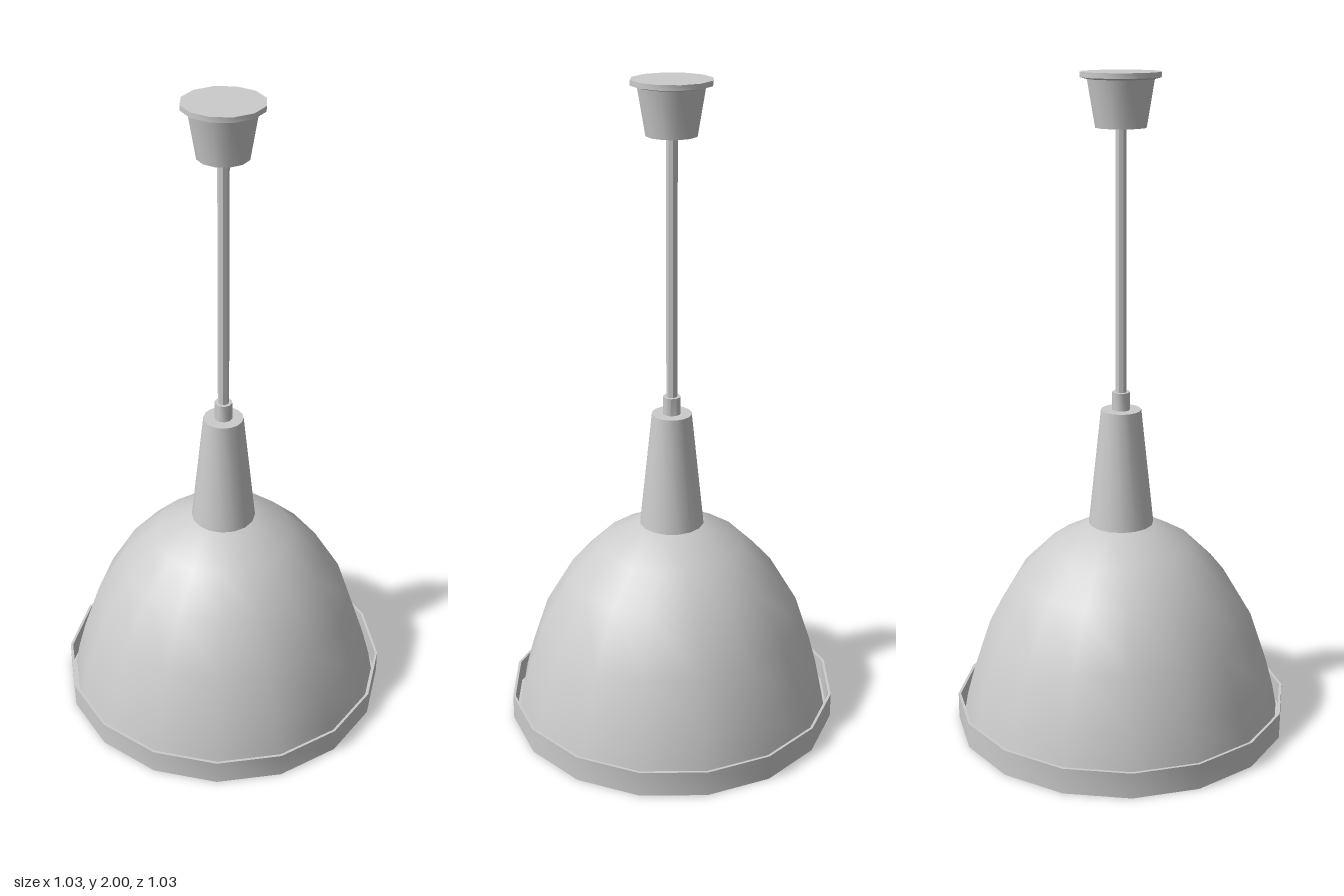
import * as THREE from 'three';
import { toCreasedNormals } from 'three/addons/utils/BufferGeometryUtils.js';

export function createModel() {
  const model = new THREE.Group();
  const material = new THREE.MeshStandardMaterial({ color: 0xcccccc });
  const openMaterial = new THREE.MeshStandardMaterial({ color: 0xcccccc, side: THREE.DoubleSide });

  function add(name, geometry, parent = model, mat = material) {
    const mesh = new THREE.Mesh(geometry, mat);
    mesh.name = name;
    parent.add(mesh);
    return mesh;
  }

  // Turned part from [radius, height] pairs listed bottom to top
  function turned(name, profile, sides, mat = material, parent = model) {
    const points = profile.map(([r, y]) => new THREE.Vector2(r, y));
    return add(name, toCreasedNormals(new THREE.LatheGeometry(points, sides), 0.7), parent, mat);
  }

  // Ceiling canopy with a thin flange
  turned('canopy', [[0, 1.845], [0.075, 1.845], [0.098, 1.98], [0.118, 1.985], [0.118, 2], [0, 2]], 12);

  // Hanging rod and its collar
  turned('rod', [[0, 0.99], [0.017, 0.99], [0.017, 1.86], [0, 1.86]], 8);
  turned('rodCollar', [[0, 0.99], [0.027, 0.99], [0.027, 1.065], [0, 1.065]], 10);

  // Tapered neck above the dome
  turned('neck', [[0.1, 0.645], [0.061, 1.01], [0, 1.01]], 16, openMaterial);

  // Open dome shade
  turned('shade', [
    [0.5, 0.01], [0.487, 0.08], [0.463, 0.17], [0.41, 0.33],
    [0.32, 0.485], [0.22, 0.585], [0.1, 0.65], [0, 0.66],
  ], 16, openMaterial);

  // Rim band standing slightly clear of the shade, with a lip below
  turned('rimBand', [
    [0.495, 0.01], [0.495, 0], [0.517, 0], [0.517, 0.08],
    [0.509, 0.08], [0.509, 0.01], [0.495, 0.01],
  ], 16, openMaterial);

  // Lamp holder and bulb inside the shade
  turned('lampHolder', [[0, 0.42], [0.075, 0.42], [0.075, 0.655], [0, 0.655]], 12);
  turned('bulb', [
    [0, 0.09], [0.05, 0.1], [0.095, 0.135], [0.125, 0.185],
    [0.135, 0.24], [0.12, 0.3], [0.085, 0.37], [0.06, 0.44], [0, 0.44],
  ], 16);

  // Wire guard: two rings and two crossing bars
  const guard = new THREE.Group();
  guard.name = 'guard';
  guard.position.y = 0.03;
  model.add(guard);
  for (const radius of [0.165, 0.33]) {
    const ring = add('guardRing', new THREE.TorusGeometry(radius, 0.007, 6, 16), guard);
    ring.rotation.x = Math.PI / 2;
  }
  for (const angle of [0, Math.PI / 2]) {
    const bar = add('guardBar', new THREE.CylinderGeometry(0.007, 0.007, 0.98, 6), guard);
    bar.rotation.set(Math.PI / 2, 0, angle);
  }

  return model;
}
